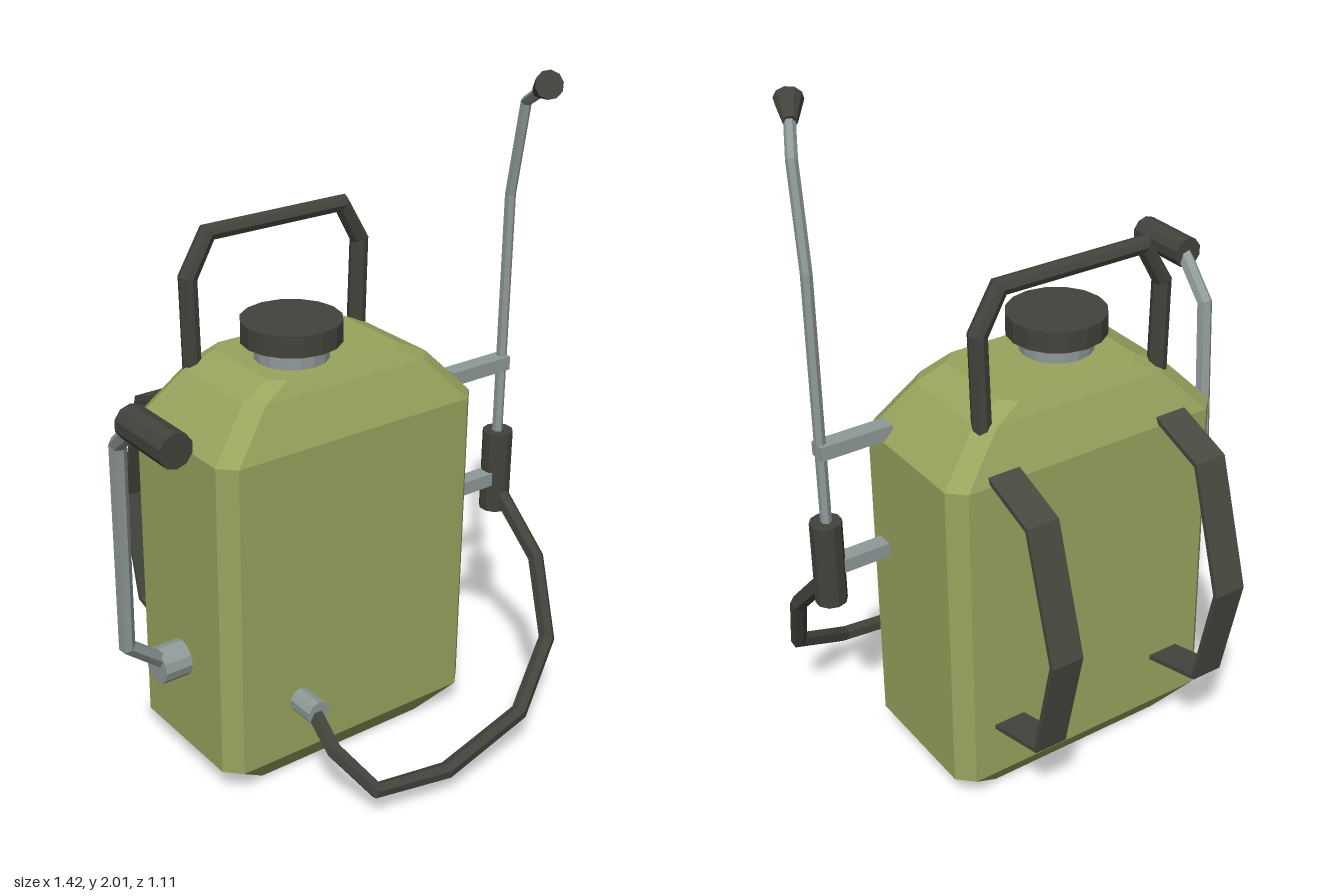
import * as THREE from 'three';

const paint = (name, color) => {
  const m = new THREE.MeshStandardMaterial({ color, flatShading: true });
  m.name = name;
  return m;
};

// Polyline whose samples fall exactly on its corners, for faceted tubes
class Polyline extends THREE.Curve {
  constructor(points) {
    super();
    this.points = points.map((p) => new THREE.Vector3(...p));
  }
  index(t) { return Math.round(t * (this.points.length - 1)); }
  getPoint(t, target = new THREE.Vector3()) { return target.copy(this.points[this.index(t)]); }
  getPointAt(t, target) { return this.getPoint(t, target); }
  getTangentAt(t, target = new THREE.Vector3()) {
    const i = this.index(t), p = this.points, out = new THREE.Vector3();
    if (i > 0) out.add(p[i].clone().sub(p[i - 1]).normalize());
    if (i < p.length - 1) out.add(p[i + 1].clone().sub(p[i]).normalize());
    return target.copy(out.normalize());
  }
}

// Closed loft through rectangles with cut corners: [y, halfX, halfZ, cut]
function loftTank(levels, cx, cz) {
  const pos = [], index = [], n = 8;
  for (const [y, hx, hz, c] of levels) {
    const ring = [
      [hx, hz - c], [hx, c - hz], [hx - c, -hz], [c - hx, -hz],
      [-hx, c - hz], [-hx, hz - c], [c - hx, hz], [hx - c, hz],
    ];
    for (const [x, z] of ring) pos.push(cx + x, y, cz + z);
  }
  for (let l = 0; l < levels.length - 1; l++) {
    for (let i = 0; i < n; i++) {
      const a = l * n + i, b = l * n + (i + 1) % n;
      index.push(a, b, b + n, a, b + n, a + n);
    }
  }
  const top = (levels.length - 1) * n;
  for (let i = 1; i < n - 1; i++) {
    index.push(0, i + 1, i, top, top + i, top + i + 1);
  }
  const g = new THREE.BufferGeometry();
  g.setAttribute('position', new THREE.Float32BufferAttribute(pos, 3));
  g.setIndex(index);
  const flat = g.toNonIndexed();
  flat.computeVertexNormals();
  return flat;
}

export function createModel() {
  const model = new THREE.Group();
  model.name = 'backpackSprayer';
  const olive = paint('olive tank', 0x99a45e);
  const metal = paint('grey metal', 0x8f9a98);
  const rubber = paint('dark rubber', 0x42433b);
  const webbing = paint('dark webbing', 0x464a40);

  const add = (name, geometry, material) => {
    const mesh = new THREE.Mesh(geometry, material);
    mesh.name = name;
    model.add(mesh);
    return mesh;
  };
  const tube = (name, points, r, sides, material) =>
    add(name, new THREE.TubeGeometry(new Polyline(points), points.length - 1, r, sides), material);
  // Cylinder or cone running from point a to point b
  const rod = (name, a, b, ra, rb, sides, material) => {
    const A = new THREE.Vector3(...a), B = new THREE.Vector3(...b);
    const dir = B.clone().sub(A);
    const mesh = add(name, new THREE.CylinderGeometry(rb, ra, dir.length(), sides), material);
    mesh.position.copy(A).add(B).multiplyScalar(0.5);
    mesh.quaternion.setFromUnitVectors(new THREE.Vector3(0, 1, 0), dir.normalize());
    return mesh;
  };

  // Tank with bevelled base and shoulders
  add('tank', loftTank([
    [0, 0.335, 0.18, 0.045],
    [0.09, 0.44, 0.243, 0.045],
    [1.06, 0.44, 0.243, 0.045],
    [1.195, 0.315, 0.19, 0.045],
    [1.237, 0.225, 0.168, 0.04],
  ], 0.04, -0.028), olive);

  // Filler neck and cap
  rod('fillerNeck', [-0.035, 1.2, 0.005], [-0.035, 1.29, 0.005], 0.107, 0.107, 16, metal);
  rod('fillerCap', [-0.035, 1.287, 0.005], [-0.035, 1.35, 0.005], 0.144, 0.144, 16, rubber);

  // Carry handle
  tube('carryHandle', [
    [-0.243, 1.16, -0.18], [-0.25, 1.455, -0.18], [-0.183, 1.572, -0.18],
    [0.273, 1.572, -0.18], [0.34, 1.455, -0.18], [0.333, 1.16, -0.18],
  ], 0.028, 8, rubber);

  // Shoulder straps: a bent band extruded across its width
  const path = [[-0.25, 1.089], [-0.44, 1.02], [-0.553, 0.645], [-0.475, 0.31], [-0.25, 0.248]];
  const inner = [[-0.25, 1.073], [-0.43, 1.008], [-0.538, 0.645], [-0.464, 0.322], [-0.25, 0.262]];
  const band = new THREE.Shape([...path, ...inner.reverse()].map(([z, y]) => new THREE.Vector2(-z, y)));
  for (const [name, x] of [['rightStrap', -0.282], ['leftStrap', 0.27]]) {
    const g = new THREE.ExtrudeGeometry(band, { depth: 0.098, bevelEnabled: false });
    g.rotateY(Math.PI / 2);
    add(name, g, webbing).position.x = x;
  }

  // Pump lever on the right side
  rod('leverPivot', [-0.487, 0.378, -0.028], [-0.39, 0.378, -0.028], 0.055, 0.055, 12, metal);
  tube('pumpLever', [
    [-0.45, 0.378, -0.028], [-0.603, 0.51, 0.015], [-0.642, 1.17, 0.09], [-0.665, 1.283, 0.23],
  ], 0.024, 6, metal);
  rod('leverGrip', [-0.665, 1.283, 0.205], [-0.665, 1.283, 0.415], 0.048, 0.048, 10, rubber);

  // Spray wand held by two brackets on the left side
  for (const [name, y] of [['upperBracket', 1.085], ['lowerBracket', 0.71]]) {
    add(name, new THREE.BoxGeometry(0.22, 0.042, 0.05), metal).position.set(0.56, y, 0.11);
  }
  tube('sprayWand', [
    [0.658, 0.8, 0.11], [0.658, 1.6, 0.11], [0.646, 1.88, 0.165], [0.585, 1.942, 0.285],
  ], 0.016, 6, metal);
  rod('sprayNozzle', [0.592, 1.937, 0.268], [0.557, 1.971, 0.34], 0.02, 0.04, 10, rubber);
  rod('wandGrip', [0.66, 0.6, 0.11], [0.66, 0.86, 0.11], 0.046, 0.046, 10, rubber);

  // Outlet and hose
  rod('hoseOutlet', [-0.157, 0.268, 0.2], [-0.157, 0.268, 0.305], 0.037, 0.037, 10, metal);
  tube('hose', [
    [-0.157, 0.268, 0.27], [-0.175, 0.205, 0.4], [-0.103, 0.1, 0.505], [0.13, 0.085, 0.535],
    [0.44, 0.14, 0.5], [0.642, 0.27, 0.395], [0.682, 0.49, 0.285], [0.66, 0.66, 0.13],
  ], 0.025, 6, rubber);

  return model;
}
